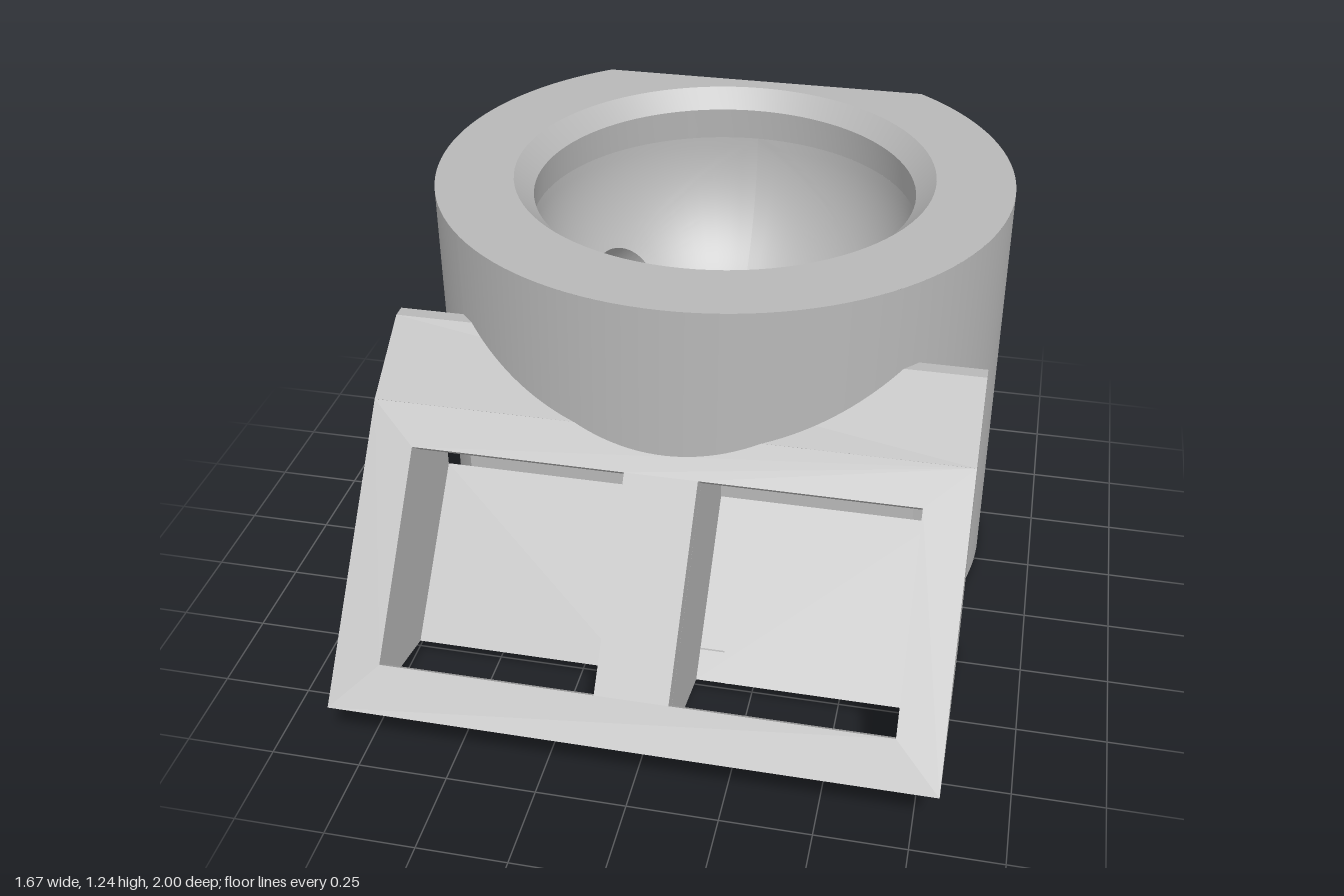
import * as THREE from 'three';
import { toCreasedNormals } from 'three/addons/utils/BufferGeometryUtils.js';

const CZ = -0.335, R = 0.835, H = 1.235;      // cylinder axis, radius, height
const SR = 0.565, SY = 1.08;                  // bowl sphere radius and centre height
const V = (x, y, z) => new THREE.Vector3(x, y, z);
const rad = THREE.MathUtils.degToRad, lerp = THREE.MathUtils.lerp;

// surface through rows of points
function grid(rows, crease = 0.5) {
  const n = rows[0].length, idx = [];
  for (let i = 0; i < rows.length - 1; i++) for (let j = 0; j < n - 1; j++) {
    const a = i * n + j, b = a + n;
    idx.push(a, a + 1, b, b, a + 1, b + 1);
  }
  const g = new THREE.BufferGeometry().setFromPoints(rows.flat());
  g.setIndex(idx);
  return toCreasedNormals(g, crease);
}
const shapeOf = pts => new THREE.Shape(pts.map(p => new THREE.Vector2(p[0], p[1])));
// horizontal plate from [x, z] points
function flat(pts, y, hole, down) {
  const s = shapeOf(pts.map(([x, z]) => [x, -z]));
  if (hole) s.holes.push(shapeOf(hole.map(([x, z]) => [x, -z])));
  const g = new THREE.ShapeGeometry(s).rotateX(-Math.PI / 2);
  if (down) {
    const a = g.index.array;
    for (let i = 0; i < a.length; i += 3) [a[i], a[i + 1]] = [a[i + 1], a[i]];
    g.computeVertexNormals();
  }
  return g.translate(0, y, 0);
}
// vertical wall along [x, z] points, heights may be functions of (x, z)
const at = (h, p) => (typeof h === 'function' ? h(p[0], p[1]) : h);
const wall = (pts, y0, y1) => grid([y1, y0].map(h => pts.map(p => V(p[0], at(h, p), p[1]))));
// strip along [z, y] profile points between two x positions
const strip = (pts, x0, x1) => grid([x0, x1].map(x => pts.map(([z, y]) => V(x, y, z))), 0.05);
const side = (pts, x) => new THREE.ShapeGeometry(shapeOf(pts.map(([z, y]) => [-z, y])))
  .rotateY(Math.PI / 2).translate(x, 0, 0);
const mir = pts => pts.map(([x, z]) => [-x, z]);
const rev = pts => [...pts].reverse();
const around = half => [...half, ...rev(mir(half))];
const ring = (outer, inner) => [...around(outer), ...mir(inner), ...rev(inner)];
const polar = (a, r) => [r * Math.sin(a), CZ + r * Math.cos(a)];
const circle = (r, n = 96) => Array.from({ length: n + 1 }, (_, i) => polar(i / n * Math.PI * 2, r));

// throat outline: circle clipped at both sides
const throatR = a => Math.min(0.34, 0.25 / Math.max(1e-6, Math.abs(Math.sin(a))));
const rimY = (x, z) => SY - Math.sqrt(SR * SR - x * x - (z - CZ) ** 2);
const onBowl = (phi, th) => V(SR * Math.sin(th) * Math.sin(phi), SY - SR * Math.cos(th), CZ + SR * Math.sin(th) * Math.cos(phi));

// one third of the bowl, with a round hole in it
function bowlSector(phi0) {
  const tc = rad(48.8), ha = rad(11.1), N = 30, rows = [], half = Math.PI / 3;
  const low = p => Math.asin(throatR(phi0 + p) / SR);
  const edge = [];
  for (let i = 0; i < N; i++) edge.push([lerp(-half, half, i / N), 0]);
  for (let i = 0; i < N; i++) edge.push([half, i / N]);
  for (let i = 0; i < N; i++) edge.push([lerp(half, -half, i / N), 1]);
  for (let i = 0; i <= N; i++) edge.push([-half, 1 - i / N]);
  const outer = edge.map(([p, s]) => [p, lerp(low(p), Math.PI / 2, s)]);
  const inner = outer.map(([p, t]) => {
    const u = Math.atan2(t - tc, p * Math.sin(tc)), c = Math.sin(ha) * Math.cos(u), d = Math.sin(ha) * Math.sin(u);
    const h = Math.sin(tc) * Math.cos(ha) + Math.cos(tc) * d;
    const v = Math.cos(tc) * Math.cos(ha) - Math.sin(tc) * d;
    return [Math.atan2(c, h), Math.acos(v)];
  });
  for (let k = 0; k <= 10; k++) rows.push(outer.map((o, i) =>
    onBowl(phi0 + lerp(inner[i][0], o[0], k / 10), lerp(inner[i][1], o[1], k / 10))));
  // blind socket behind the hole
  const dir = V(Math.sin(tc) * Math.sin(phi0), -Math.cos(tc), Math.sin(tc) * Math.cos(phi0));
  const c = V(0, SY, CZ), mouth = rows[0];
  const back = mouth.map(p => p.clone().addScaledVector(dir, 0.1));
  const end = mouth.map(() => c.clone().addScaledVector(dir, SR + 0.09));
  return [grid(rows, 0.7), grid([back, mouth], 0.7), grid([end, back], 0.7)];
}

export function createModel() {
  const model = new THREE.Group();
  const grey = new THREE.MeshStandardMaterial({ color: 0xb8b8b8, side: THREE.DoubleSide });
  grey.name = 'grey';
  const add = (name, ...geos) => {
    const g = new THREE.Group();
    g.name = name;
    geos.forEach(geo => {
      const m = new THREE.Mesh(geo, grey);
      m.name = name;
      g.add(m);
    });
    model.add(g);
  };

  // wedge side profile as [z, y]
  const profile = [[0.21, 0], [0.95, 0.165], [1, 0.2], [0.46, 0.84], [0.25, 0.985], [0.21, 0.985]];
  const wedgeLow = (x, z) => Math.max(0, (z - 0.21) * 0.223);
  const wedgeTop = (x, z) => (z <= 0.25 ? 0.985 : z <= 0.46 ? 0.985 - (z - 0.25) * 0.69 : 0.84 - (z - 0.46) * 1.185);

  // outer cylinder wall, open where the wedge joins it
  const aFlat = Math.acos((-1 - CZ) / R), aJoin = Math.acos((0.21 - CZ) / R), aChan = Math.asin(0.17 / R);
  const arc = (a0, a1, n) => Array.from({ length: n + 1 }, (_, i) => polar(lerp(a0, a1, i / n), R));
  const xFlat = R * Math.sin(aFlat);
  add('cylinderWall',
    wall(arc(aJoin, aFlat, 40), 0, H), wall(arc(-aFlat, -aJoin, 40), 0, H),
    wall(arc(-aJoin, aJoin, 60), wedgeTop, H),
    wall(arc(aChan, aJoin, 24), 0, wedgeLow), wall(arc(-aJoin, -aChan, 24), 0, wedgeLow));

  // flat back with a shallow notch
  const backFace = shapeOf([[-xFlat, 0], [-0.18, 0], [-0.18, 0.615], [0.18, 0.615], [0.18, 0], [xFlat, 0], [xFlat, H], [-xFlat, H]]);
  add('flatBack', new THREE.ShapeGeometry(backFace).rotateY(Math.PI).translate(0, 0, -1));
  const notch = [[-0.18, 0], [-0.18, 0.615], [0.18, 0.615], [0.18, 0]];
  add('backNotch', grid([-1, -0.94].map(z => notch.map(([x, y]) => V(x, y, z)))),
    new THREE.PlaneGeometry(0.36, 0.615).rotateY(Math.PI).translate(0, 0.3075, -0.94));

  // top rim, bevel and collar
  add('topRim', flat(arc(-aFlat, aFlat, 96), H, circle(0.61).slice(0, -1)));
  const level = (r, y) => circle(r).map(([x, z]) => V(x, y, z));
  add('bowlCollar', grid([level(0.61, H), level(0.555, 1.18)]), grid([level(0.555, 1.18), level(SR, SY)]));

  // bowl with three sockets and a throat
  [0, 1, -1].forEach(k => add('bowlSector', ...bowlSector(k * Math.PI * 2 / 3)));
  const throat = Array.from({ length: 121 }, (_, i) => polar(i * Math.PI / 60, throatR(i * Math.PI / 60)));
  add('throat', wall(throat, 0.145, rimY));

  // stepped recess underneath with screw ears and a cable channel
  const ear = Array.from({ length: 13 }, (_, i) => {
    const a = Math.PI / 2 - i * Math.PI / 12;
    return [0.68 + 0.07 * Math.cos(a), -0.38 + 0.07 * Math.sin(a)];
  });
  const tray = [[0.17, 0.1], [0.55, 0.1], [0.55, -0.31], ...ear, [0.55, -0.45], [0.55, -0.78]];
  const well = [[0.17, 0.03], [0.38, 0.03], [0.38, -0.7]];
  const rimHalf = [...arc(aChan, aFlat, 60), [0.18, -1], [0.18, -0.94]];
  add('underside', flat(ring(rimHalf, tray), 0, null, true));
  add('tray', flat(ring(tray, well), 0.07, null, true), wall(around(tray), 0, 0.07));
  add('well', flat(around([[0.17, 0.51], ...well]), 0.145, throat.slice(0, -1), true), wall(around(well), 0.07, 0.145));
  [1, -1].forEach(s => add('cableChannel',
    wall([[0.17 * s, 0.1], [0.17 * s, 0.49]], 0, 0.145),
    wall([[0.17 * s, 0.03], [0.17 * s, 0.1]], 0.07, 0.145)));
  add('channelEnd', flat([[-0.1, 0.5], [0.1, 0.5], [0.1, 0.78], [-0.1, 0.78]], 0.145, null, true),
    wall([[-0.17, 0.78], [0.17, 0.78]], 0.127, 0.145));

  // sloping front panel with two windows
  const W = 0.815;
  const panel = shapeOf([[-W, 0], [W, 0], [W, 0.837], [-W, 0.837]]);
  [1, -1].forEach(s => panel.holes.push(shapeOf([[0.1, 0.131], [0.69, 0.131], [0.69, 0.588 + 0.131], [0.1, 0.719]].map(([x, y]) => [x * s, y]))));
  add('frontPanel', new THREE.ExtrudeGeometry(panel, { depth: 0.055, bevelEnabled: false })
    .translate(0, 0, -0.055).rotateX(-0.7006).translate(0, 0.2, 1));

  // wedge shell
  add('wedgeTop', strip([[0.46, 0.84], [0.25, 0.985]], -W, W));
  const under = [[0.17, 0.22], [0.17, 0.564], [0.72, 0.564], [0.72, 0.735], [0.17, 0.735], [0.17, 0.78]];
  const bottom = flat([[-W, 0.21], [W, 0.21], [W, 0.95], [-W, 0.95]], 0, around(under), true);
  const bp = bottom.attributes.position;
  for (let i = 0; i < bp.count; i++) bp.setY(i, wedgeLow(0, bp.getZ(i)));
  bottom.computeVertexNormals();
  add('wedgeBottom', bottom);

  // window pockets, cut square to the sloping panel
  const T = [0.477, 0.7335], B1 = [0.21, 0.508], B2 = [0.21, 0.466], E = [0.564, 0.079], F = [0.735, 0.117], G = [0.889, 0.2455];
  [1, -1].forEach(s => {
    add('wedgeSide', side(profile, W * s));
    add('wedgeShoulder', strip([[0.25, 0.985], [0.21, 0.985]], 0.59 * s, W * s));
    const back = shapeOf([[0.63, 0], [W, 0], [W, 0.985], [0.63, 0.985]]);
    back.holes.push(shapeOf([[0.65, 0.466], [0.72, 0.466], [0.72, 0.508], [0.65, 0.508]]));
    add('wedgeBack', new THREE.ShapeGeometry(back).scale(s, 1, 1).translate(0, 0, 0.21));
    add('windowPocket', strip([T, B1], 0.1 * s, 0.72 * s), strip([B1, B2], 0.1 * s, 0.65 * s),
      strip([B2, E], 0.1 * s, 0.72 * s), strip([F, G], 0.1 * s, 0.72 * s),
      side([T, B1, B2, E, F, G], 0.1 * s), side([T, B1, B2, E, F, G], 0.72 * s));
  });
  return model;
}
